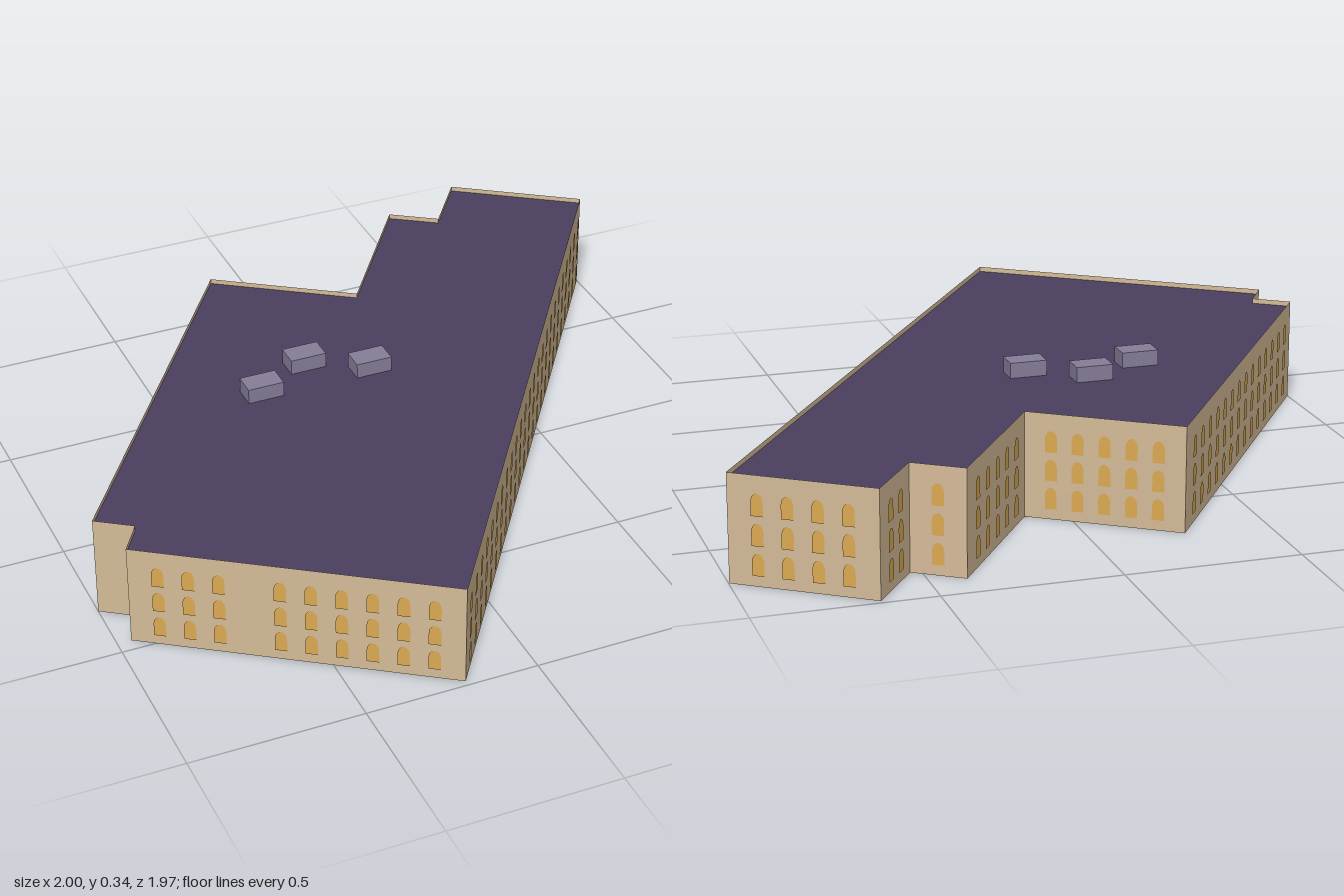
import * as THREE from 'three';

const WALL_H = 0.305;
const ROOF_Y = 0.29;

// Footprint corners (x, z), counter-clockwise from above, with the number of
// window columns on the wall that starts at each corner.
const FOOTPRINT = [
  { x: -0.205, z: 0.983, columns: 25, step: 0.0835 },
  { x: 0.998, z: -0.75, columns: 4 },
  { x: 0.655, z: -0.988, columns: 2 },
  { x: 0.53, z: -0.815, columns: 1 },
  { x: 0.4, z: -0.903, columns: 5 },
  { x: 0.115, z: -0.498, columns: 5 },
  { x: -0.26, z: -0.755, columns: 14 },
  { x: -1.0, z: 0.302, columns: 0 },
  { x: -0.902, z: 0.37, columns: 0 },
  { x: -0.96, z: 0.46, columns: 10, skip: 3 },
];

// Arched window outline standing on (x, y)
function windowShape(x, y, w = 0.034, h = 0.062) {
  const r = w / 2;
  const s = new THREE.Shape();
  s.moveTo(x - r, y);
  s.lineTo(x + r, y);
  s.lineTo(x + r, y + h - r * 1.4);
  s.absellipse(x, y + h - r * 1.4, r, r * 1.4, 0, Math.PI, false);
  s.closePath();
  return s;
}

export function createModel() {
  const wallMat = new THREE.MeshStandardMaterial({ color: 0xd5bb98, side: THREE.DoubleSide });
  wallMat.name = 'sandstone';
  const roofMat = new THREE.MeshStandardMaterial({ color: 0x4a3f5e, side: THREE.DoubleSide });
  roofMat.name = 'dark purple roofing';
  const windowMat = new THREE.MeshStandardMaterial({ color: 0xdaaa52 });
  windowMat.name = 'amber glass';
  const unitMat = new THREE.MeshStandardMaterial({ color: 0x867d98 });
  unitMat.name = 'grey purple metal';

  const model = new THREE.Group();
  model.name = 'building';
  const add = (name, geometry, material, parent = model) => {
    const mesh = new THREE.Mesh(geometry, material);
    mesh.name = name;
    parent.add(mesh);
    return mesh;
  };

  // Walls, each with its three rows of windows
  FOOTPRINT.forEach((a, i) => {
    const b = FOOTPRINT[(i + 1) % FOOTPRINT.length];
    const dx = b.x - a.x;
    const dz = b.z - a.z;
    const length = Math.hypot(dx, dz);

    const side = new THREE.Group();
    side.name = 'wallSide';
    side.position.set((a.x + b.x) / 2, 0, (a.z + b.z) / 2);
    side.rotation.y = Math.atan2(-dz, dx);
    model.add(side);

    add('wall', new THREE.PlaneGeometry(length, WALL_H).translate(0, WALL_H / 2, 0), wallMat, side);

    const shapes = [];
    const step = a.step ?? length / (a.columns + 1);
    for (let c = 0; c < a.columns; c++) {
      if (c === a.skip) continue;
      const x = (c - (a.columns - 1) / 2) * step;
      for (const y of [0.03, 0.112, 0.194]) shapes.push(windowShape(x, y));
    }
    if (shapes.length) {
      add('windows', new THREE.ShapeGeometry(shapes, 5), windowMat, side).position.z = 0.003;
    }
  });

  // Flat roof, set just below the wall tops to leave a low parapet
  const outline = new THREE.Shape(FOOTPRINT.map((p) => new THREE.Vector2(p.x, -p.z)));
  add('roof', new THREE.ShapeGeometry(outline).rotateX(-Math.PI / 2), roofMat).position.y = ROOF_Y;

  // Rooftop ventilation units
  for (const [x, z] of [[-0.343, -0.12], [-0.173, -0.215], [-0.006, -0.12]]) {
    add('roofUnit', new THREE.BoxGeometry(0.108, 0.045, 0.07), unitMat).position.set(x, ROOF_Y + 0.0225, z);
  }

  return model;
}
